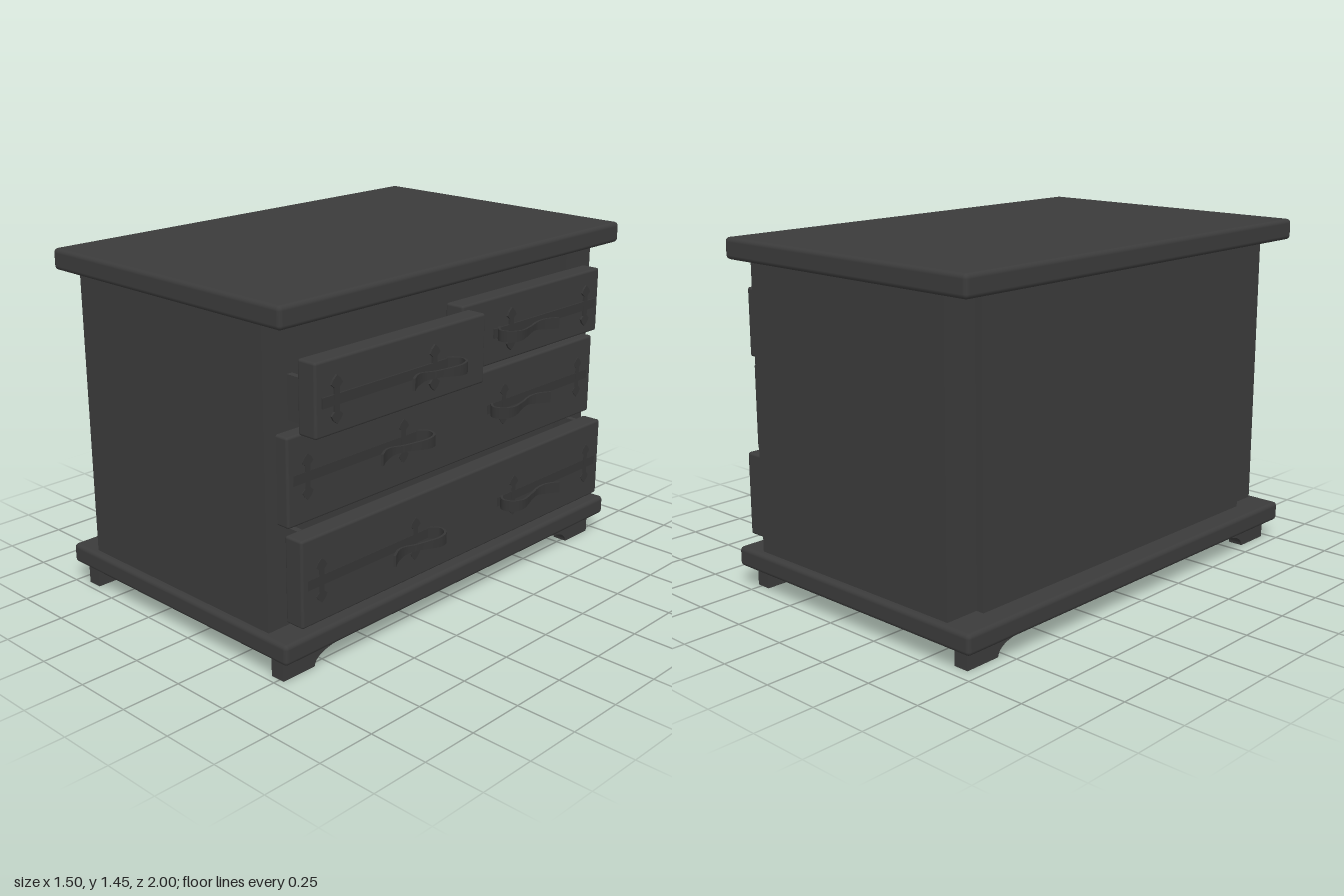
import * as THREE from 'three';
import { RoundedBoxGeometry } from 'three/addons/geometries/RoundedBoxGeometry.js';

const wood = new THREE.MeshStandardMaterial({ color: 0x3b3b3b });
const iron = new THREE.MeshStandardMaterial({ color: 0x353535 });

// Box given by its limits; a radius above zero rounds the edges
function block(parent, name, [x0, x1], [y0, y1], [z0, z1], radius = 0, material = wood) {
  const size = [x1 - x0, y1 - y0, z1 - z0];
  const geometry = radius ? new RoundedBoxGeometry(...size, 3, radius) : new THREE.BoxGeometry(...size);
  const mesh = new THREE.Mesh(geometry, material);
  mesh.name = name;
  mesh.position.set((x0 + x1) / 2, (y0 + y1) / 2, (z0 + z1) / 2);
  parent.add(mesh);
}

// S-shaped ribbon pull, narrowest at the waist; x = 0 is the drawer face
function pullGeometry() {
  const path = new THREE.CatmullRomCurve3([
    [-0.005, 0.235], [0.01, 0.215], [0.04, 0.19], [0.08, 0.205], [0.095, 0.25],
    [0.07, 0.34], [0.052, 0.41], [0.062, 0.46], [0.09, 0.51],
  ].map(([x, z]) => new THREE.Vector3(x, 0, z)));
  const g = new THREE.BoxGeometry(1, 1, 1, 48, 1, 1);
  const p = g.attributes.position;
  const up = new THREE.Vector3(0, 1, 0);
  for (let i = 0; i < p.count; i++) {
    const t = p.getX(i) + 0.5;
    const height = 0.047 - 0.02 * Math.exp(-(((t - 0.66) / 0.14) ** 2));
    const v = path.getPoint(t);
    const side = path.getTangent(t).cross(up).normalize();
    v.addScaledVector(side, p.getZ(i) * 0.01);
    p.setXYZ(i, v.x, p.getY(i) * height, v.z);
  }
  g.computeVertexNormals();
  return g;
}

// Upright cross bar with a pointed leaf at each end
function crossGeometry() {
  const q = [[0, 0.09], [0.018, 0.075], [0.028, 0.058], [0.012, 0.044], [0.012, 0.02]];
  const half = [...q, ...q.slice().reverse().map(([x, y]) => [x, -y])];
  const left = half.slice(1, -1).reverse().map(([x, y]) => [-x, y]);
  const shape = new THREE.Shape([...half, ...left].map(([x, y]) => new THREE.Vector2(x, y)));
  return new THREE.ExtrudeGeometry(shape, { depth: 0.012, bevelEnabled: false }).rotateY(Math.PI / 2);
}

const pull = pullGeometry();
const cross = crossGeometry();

// Strap, two crosses and pull for one half of a drawer row
function fittings(x, y, side) {
  const g = new THREE.Group();
  g.name = side > 0 ? 'fittingsLeftHalf' : 'fittingsRightHalf';
  g.position.set(x, y, side > 0 ? 0 : -0.02);
  g.scale.z = side;
  block(g, 'strap', [-0.01, 0.007], [-0.02, 0.02], [0.19, 0.885], 0, iron);
  for (const z of [0.3, 0.815]) {
    const mesh = new THREE.Mesh(cross, iron);
    mesh.name = 'strapCross';
    mesh.position.set(-0.004, 0, z);
    g.add(mesh);
  }
  const handle = new THREE.Mesh(pull, iron);
  handle.name = 'pullHandle';
  g.add(handle);
  return g;
}

// Rounded front with an open tray behind it; inset sinks the fittings into the face
function drawer({ name, face, y: [y0, y1], z: [z0, z1], sides, fittingY, inset = 0, trayTop }) {
  const g = new THREE.Group();
  g.name = name;
  block(g, 'drawerFront', [face - 0.088, face], [y0, y1], [z0, z1], 0.01);
  const x = [0.3, face - 0.08], low = y0 + 0.012;
  const l = z0 + 0.06, r = z1 - 0.06;
  block(g, 'trayFloor', x, [low, low + 0.02], [l, r]);
  block(g, 'traySide', x, [low, trayTop], [l, l + 0.025]);
  block(g, 'traySide', x, [low, trayTop], [r - 0.025, r]);
  for (const s of sides) g.add(fittings(face - inset, fittingY, s));
  return g;
}

// Bracket foot: square block with a curved wing running inward
function footGeometry() {
  const s = new THREE.Shape();
  s.moveTo(0, 0);
  s.lineTo(0.16, 0);
  s.bezierCurveTo(0.165, 0.045, 0.23, 0.062, 0.35, 0.066);
  s.lineTo(0.35, 0.1);
  s.lineTo(0, 0.1);
  return new THREE.ExtrudeGeometry(s, { depth: 0.065, bevelEnabled: false, curveSegments: 10 });
}

export function createModel() {
  const model = new THREE.Group();
  model.name = 'chestOfDrawers';

  // Top and base slabs
  block(model, 'topSlab', [-0.75, 0.57], [1.362, 1.45], [-1, 1], 0.018);
  block(model, 'baseSlab', [-0.75, 0.57], [0.088, 0.172], [-1, 1], 0.018);

  // Carcass with a raised back panel and a recessed front
  const h = [0.165, 1.37];
  block(model, 'carcass', [-0.615, 0.41], h, [-0.97, 0.97]);
  block(model, 'backPanel', [-0.65, -0.61], h, [-0.82, 0.82]);
  block(model, 'frontPost', [0.41, 0.445], h, [0.8, 0.97]);
  block(model, 'frontPost', [0.41, 0.445], h, [-0.97, -0.8]);

  // Drawers, some of them pulled out
  const wide = { z: [-0.935, 0.915], sides: [1, -1], inset: 0.006 };
  const top = { y: [0.97, 1.25], fittingY: 1.1, trayTop: 1.155 };
  const drawers = [
    { ...top, name: 'topLeftDrawer', face: 0.65, z: [0, 0.915], sides: [1] },
    { ...top, name: 'topRightDrawer', face: 0.523, z: [-0.935, -0.015], sides: [-1] },
    { ...wide, name: 'middleDrawer', face: 0.503, y: [0.59, 0.942], fittingY: 0.77, trayTop: 0.82 },
    { ...wide, name: 'bottomDrawer', face: 0.57, y: [0.21, 0.562], fittingY: 0.378, trayTop: 0.56 },
  ];
  for (const d of drawers) model.add(drawer(d));

  // Four bracket feet
  const foot = footGeometry();
  for (const x of [-0.69, 0.457]) {
    for (const s of [-1, 1]) {
      const mesh = new THREE.Mesh(foot, wood);
      mesh.name = 'bracketFoot';
      mesh.rotation.y = s * Math.PI / 2;
      mesh.position.set(s > 0 ? x : x + 0.065, 0, s > 0 ? 0.97 : -0.945);
      model.add(mesh);
    }
  }
  return model;
}
